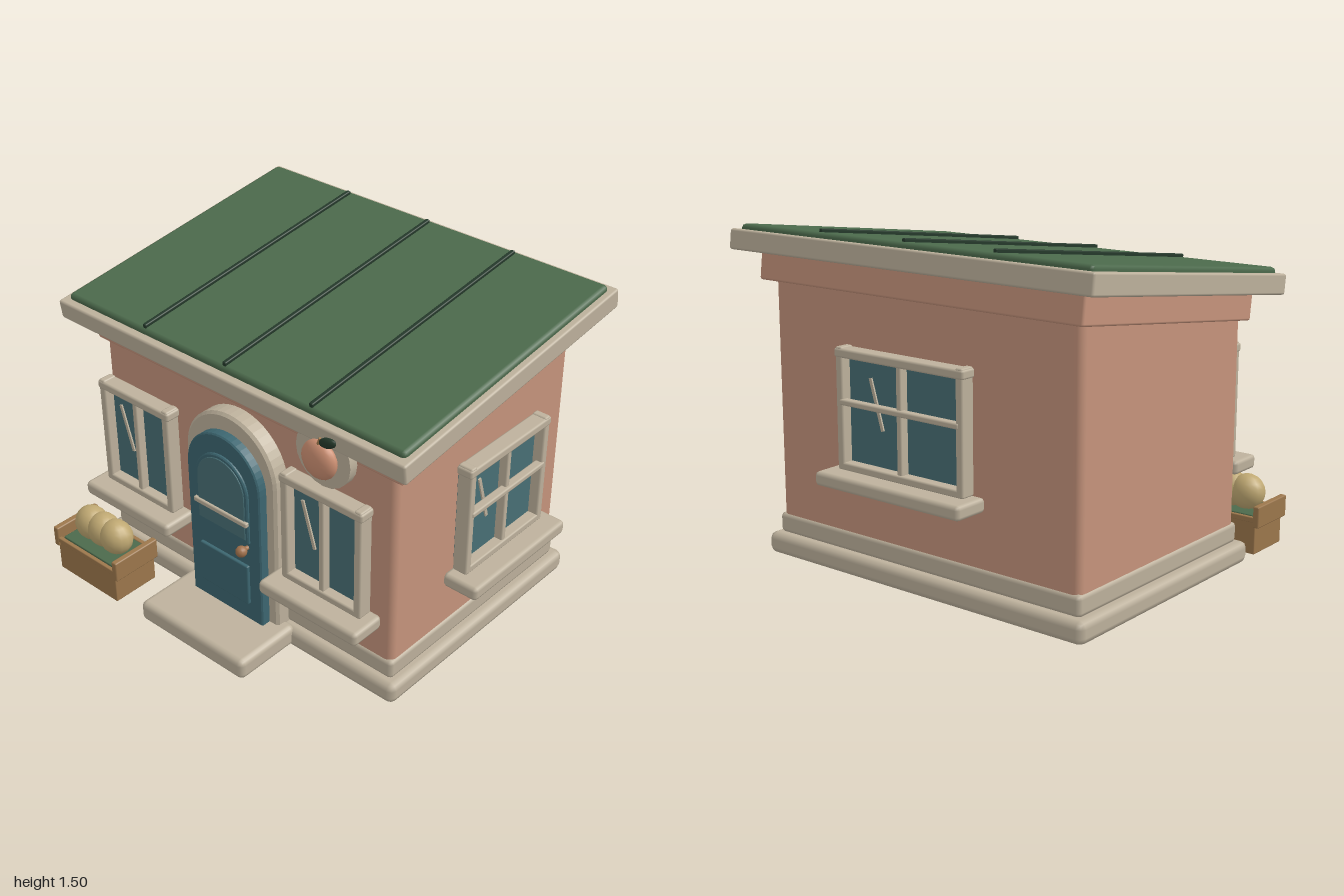
import * as THREE from 'three';
import { RoundedBoxGeometry } from 'three/addons/geometries/RoundedBoxGeometry.js';

const CX = -0.035, CZ = -0.075; // centre of the building

export function createModel() {
  const mat = (name, color) => Object.assign(new THREE.MeshStandardMaterial({ color }), { name });
  const plaster = mat('plaster', 0xc6947c);
  const stone = mat('stone', 0xbdb19c);
  const glass = mat('glass', 0x486f75);
  const doorPaint = mat('doorPaint', 0x3c6670);
  const roofGreen = mat('roofGreen', 0x4c6a4c);
  const darkGreen = mat('darkGreen', 0x24382a);
  const wood = mat('wood', 0x9c774c);
  const melonSkin = mat('melonSkin', 0xbfa872);
  const fruitSkin = mat('fruitSkin', 0xcc8f72);
  const brass = mat('brass', 0xa0714c);

  const model = new THREE.Group();
  model.name = 'shop';

  const add = (parent, name, geometry, material, x = 0, y = 0, z = 0) => {
    const mesh = new THREE.Mesh(geometry, material);
    mesh.name = name;
    mesh.position.set(x, y, z);
    parent.add(mesh);
    return mesh;
  };
  // chamfered box given by its centre and size
  const block = (parent, name, material, x, y, z, w, h, d, r = 0.01, seg = 1) =>
    add(parent, name, new RoundedBoxGeometry(w, h, d, seg, r), material, x, y, z);
  const group = (parent, name, x, y, z) => {
    const g = new THREE.Group();
    g.name = name;
    g.position.set(x, y, z);
    parent.add(g);
    return g;
  };

  // plinth in two courses
  block(model, 'lowerPlinth', stone, CX, 0.05, CZ, 1.75, 0.1, 1.25, 0.032);
  block(model, 'upperPlinth', stone, CX, 0.143, CZ, 1.67, 0.093, 1.17, 0.02);

  // walls, with the top sheared to follow the roof
  const slope = 0.128;
  const wallGeo = new RoundedBoxGeometry(1.65, 1.08, 1.15, 3, 0.035);
  const p = wallGeo.attributes.position;
  for (let i = 0; i < p.count; i++) {
    if (p.getY(i) > 0) p.setY(i, p.getY(i) - p.getZ(i) * slope);
  }
  add(model, 'walls', wallGeo, plaster, CX, 0.68, CZ);

  // tilted roof
  const roof = group(model, 'roof', CX, 1.335, CZ);
  roof.rotation.x = slope;
  block(roof, 'eavesBand', plaster, 0, -0.1, 0, 1.73, 0.13, 1.22, 0.01);
  block(roof, 'roofSheet', roofGreen, 0, 0.02, -0.003, 1.87, 0.1, 1.34, 0.018);
  for (const s of [-1, 1]) {
    block(roof, 'sideFascia', stone, s * 0.94, 0, 0, 0.05, 0.09, 1.41, 0.01);
    block(roof, 'endFascia', stone, 0, 0, s * 0.68, 1.93, 0.09, 0.05, 0.01);
  }
  for (const x of [-0.465, 0, 0.465]) block(roof, 'roofRib', darkGreen, x, 0.072, 0, 0.02, 0.026, 1.31, 0.005);

  // window: local z points out of the wall, y starts at the sill bottom
  const makeWindow = (name, x, y, z, turn, w, crossBar) => {
    const g = group(model, name, x, y, z);
    g.rotation.y = turn;
    block(g, 'sill', stone, 0, 0.032, 0.125, w + 0.09, 0.064, 0.17, 0.018);
    block(g, 'pane', glass, 0, 0.32, 0.055, w - 0.05, 0.48, 0.035, 0.004);
    for (const s of [-1, 1]) block(g, 'stile', stone, s * (w / 2 - 0.024), 0.325, 0.085, 0.036, 0.525, 0.07, 0.008);
    block(g, 'topRail', stone, 0, 0.562, 0.085, w, 0.04, 0.076, 0.01);
    block(g, 'bottomRail', stone, 0, 0.078, 0.085, w - 0.02, 0.034, 0.07, 0.008);
    block(g, 'mullion', stone, 0, 0.32, 0.09, 0.026, 0.46, 0.045, 0.006);
    if (crossBar) block(g, 'crossBar', stone, 0, 0.355, 0.105, w - 0.05, 0.026, 0.04, 0.008);
    const glint = add(g, 'glint', new THREE.BoxGeometry(0.015, 0.225, 0.008), stone, -w * 0.22, 0.36, 0.076);
    glint.rotation.z = 0.29;
  };
  makeWindow('frontRightWindow', -0.575, 0.385, 0.5, 0, 0.44, false);
  makeWindow('frontLeftWindow', 0.505, 0.385, 0.5, 0, 0.44, false);
  makeWindow('leftSideWindow', 0.79, 0.445, -0.095, Math.PI / 2, 0.55, true);
  makeWindow('backWindow', CX, 0.445, -0.65, Math.PI, 0.7, true);

  // arched doorway
  const arch = (name, material, half, bottom, spring, z0, z1, bevel) => {
    const r = half - bevel;
    const s = new THREE.Shape();
    s.moveTo(-r, bottom + bevel);
    s.lineTo(r, bottom + bevel);
    s.lineTo(r, spring);
    s.absarc(0, spring, r, 0, Math.PI, false);
    s.closePath();
    const geo = new THREE.ExtrudeGeometry(s, {
      depth: z1 - z0 - 2 * bevel, curveSegments: 12,
      bevelEnabled: true, bevelSize: bevel, bevelThickness: bevel, bevelSegments: 1,
    });
    return add(door, name, geo, material, 0, 0, z0 + bevel);
  };
  const door = group(model, 'doorway', CX, 0, 0);
  arch('doorSurround', stone, 0.26, 0.06, 0.82, 0.46, 0.578, 0.012);
  arch('doorLeaf', doorPaint, 0.21, 0.1, 0.79, 0.53, 0.622, 0.006);
  arch('doorPaneFrame', doorPaint, 0.152, 0.53, 0.757, 0.61, 0.634, 0.005);
  arch('doorPane', glass, 0.136, 0.546, 0.757, 0.63, 0.638, 0.002);
  block(door, 'doorBar', stone, 0, 0.632, 0.638, 0.31, 0.024, 0.022, 0.006);
  block(door, 'lowerPanel', doorPaint, 0, 0.302, 0.622, 0.285, 0.205, 0.03, 0.006);
  add(door, 'knob', new THREE.SphereGeometry(0.026, 12, 8), brass, 0.135, 0.5, 0.66);
  const stem = add(door, 'knobStem', new THREE.CylinderGeometry(0.01, 0.01, 0.04, 8), brass, 0.135, 0.5, 0.635);
  stem.rotation.x = Math.PI / 2;
  block(model, 'doorStep', stone, CX, 0.06, 0.69, 0.625, 0.1, 0.34, 0.028, 2);

  // round fruit sign
  const sign = group(model, 'fruitSign', 0.515, 1.145, 0.59);
  add(sign, 'signDisc', new THREE.CylinderGeometry(0.14, 0.14, 0.04, 20), stone).rotation.x = Math.PI / 2;
  add(sign, 'fruit', new THREE.SphereGeometry(0.086, 16, 12), fruitSkin, 0, -0.005, 0.04).scale.z = 0.5;
  const stalk = add(sign, 'stalk', new THREE.CylinderGeometry(0.006, 0.008, 0.04, 6), wood, 0.008, 0.085, 0.05);
  stalk.rotation.z = -0.3;
  const leaf = add(sign, 'leaf', new THREE.SphereGeometry(0.045, 12, 8), darkGreen, 0.052, 0.098, 0.052);
  leaf.scale.set(1, 0.5, 0.35);
  leaf.rotation.z = 0.35;

  // crate of melons
  const crate = group(model, 'melonCrate', -0.7075, 0, 0.735);
  block(crate, 'crateBox', wood, 0, 0.093, 0, 0.385, 0.165, 0.235, 0.004);
  block(crate, 'leafBed', roofGreen, 0, 0.177, 0, 0.345, 0.02, 0.2, 0.004);
  for (const s of [-1, 1]) {
    block(crate, 'crateHandle', wood, s * 0.198, 0.187, 0, 0.03, 0.1, 0.25, 0.006);
    block(crate, 'crateRim', wood, 0, 0.172, s * 0.113, 0.385, 0.025, 0.02, 0.004);
  }
  for (const x of [-0.082, 0, 0.082]) {
    add(crate, 'melon', new THREE.SphereGeometry(0.083, 14, 10), melonSkin, x, 0.258, 0).scale.z = 0.9;
  }

  return model;
}
